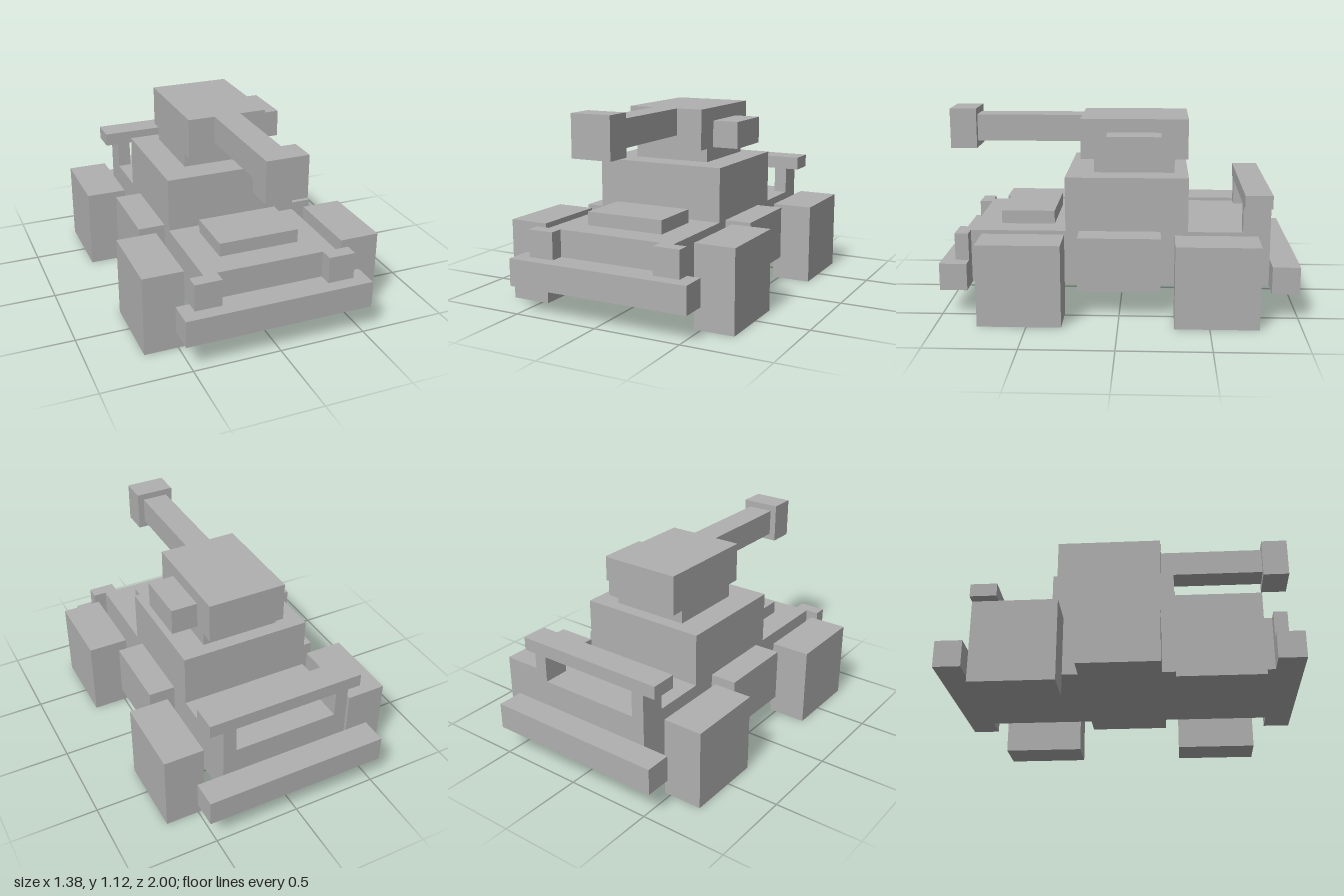
import * as THREE from 'three';

const U = 1 / 13; // the model sits on a grid of 13 steps per unit

export function createModel() {
  const model = new THREE.Group();
  model.name = 'armouredCar';
  const grey = new THREE.MeshStandardMaterial({ color: 0xb0b0b0 });
  grey.name = 'grey';

  // Box between two limits on each axis, in grid steps
  function box(name, [x0, x1], [y0, y1], [z0, z1], parent = model) {
    const mesh = new THREE.Mesh(
      new THREE.BoxGeometry((x1 - x0) * U, (y1 - y0) * U, (z1 - z0) * U), grey);
    mesh.position.set((x0 + x1) / 2 * U, (y0 + y1) / 2 * U, (z0 + z1) / 2 * U);
    mesh.name = name;
    parent.add(mesh);
  }

  // Same box on the left and right sides
  function pair(name, [x0, x1], y, z, parent) {
    box(name + 'Left', [x0, x1], y, z, parent);
    box(name + 'Right', [-x1, -x0], y, z, parent);
  }

  function group(name) {
    const g = new THREE.Group();
    g.name = name;
    model.add(g);
    return g;
  }

  // Hull
  box('chassis', [-5, 5], [2, 6], [-11, 11]);
  box('frontBumper', [-7, 7], [2, 4], [11, 13]);
  box('rearBumper', [-7, 7], [2, 4], [-13, -11]);
  box('hoodPlate', [-3, 3], [6, 7], [5, 9]);
  box('cabin', [-5, 5], [6, 10], [-5, 4]);
  pair('sideTank', [5, 7], [2, 6], [-3, 3]);
  pair('headlight', [4, 6], [4, 6], [11, 12]);

  // Wheels
  pair('frontWheel', [6, 9], [0, 6], [4, 10]);
  pair('rearWheel', [6, 9], [0, 6], [-10, -4]);

  // Rear rail on two posts
  const rail = group('rearRail');
  pair('railPost', [4, 5], [6, 8], [-11, -9], rail);
  box('railBar', [-6, 6], [8, 9], [-11, -9], rail);

  // Turret with gun and side box
  const turret = group('turret');
  box('turretNeck', [-3, 3], [10, 11], [-4, 2], turret);
  box('turretBody', [-3, 3], [11, 14], [-5, 3], turret);
  box('turretSideBox', [3, 5], [11, 13], [-3, 1], turret);
  box('barrel', [-1, 1], [12, 14], [3, 11], turret);
  box('muzzle', [-1.5, 1.5], [11.5, 14.5], [11, 13], turret);

  return model;
}
